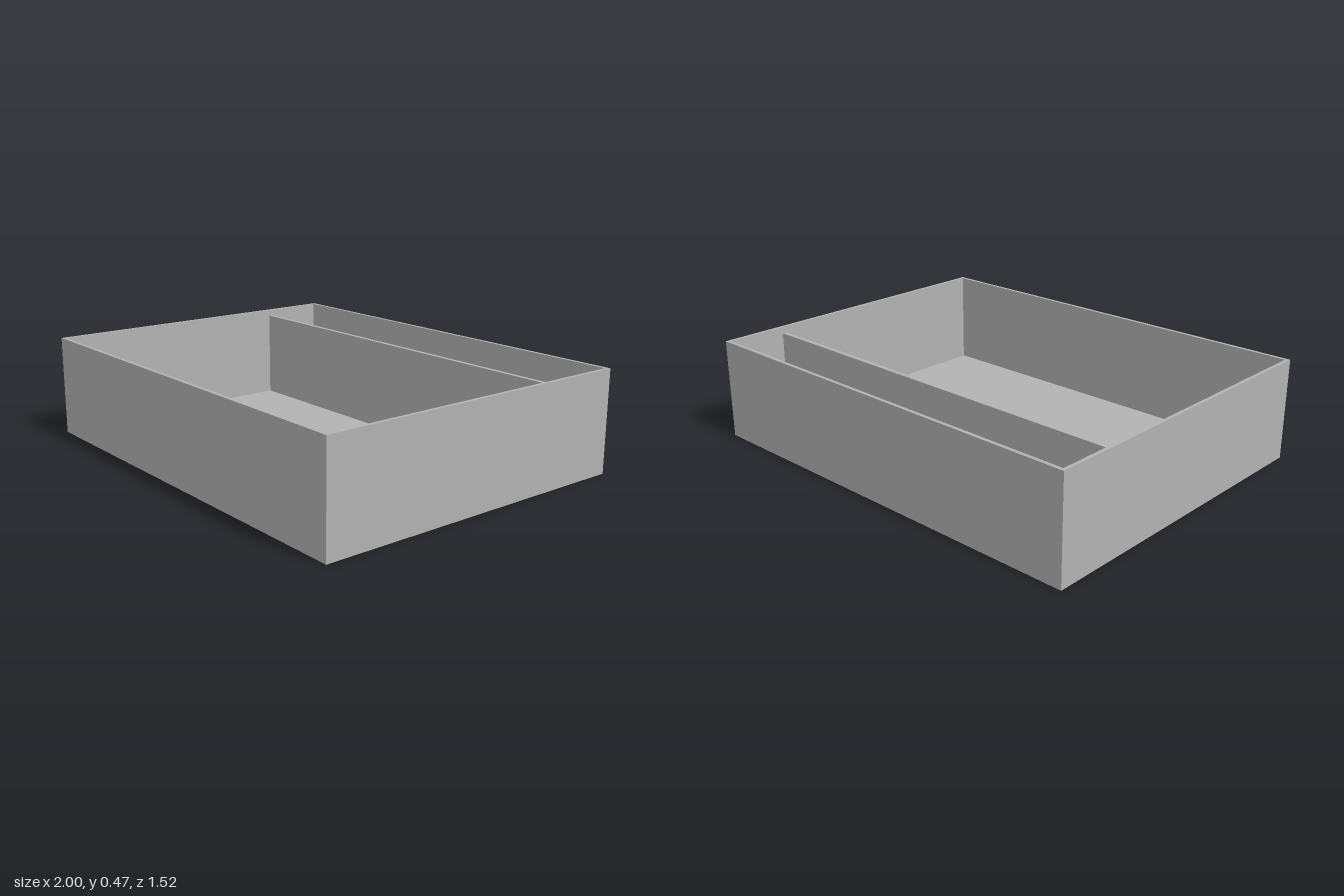
import * as THREE from 'three';

const W = 2, D = 1.524, H = 0.465; // outer size
const WALL = 0.016, FLOOR = 0.016;

export function createModel() {
  const group = new THREE.Group();
  group.name = 'dividedTray';
  const grey = new THREE.MeshStandardMaterial({ color: 0xb2b2b2 });
  grey.name = 'grey';

  const add = (name, geometry, x, y, z) => {
    const mesh = new THREE.Mesh(geometry, grey);
    mesh.name = name;
    mesh.position.set(x, y, z);
    group.add(mesh);
    return mesh;
  };

  const rectangle = (Type, w, d) => new Type([
    new THREE.Vector2(-w / 2, -d / 2), new THREE.Vector2(w / 2, -d / 2),
    new THREE.Vector2(w / 2, d / 2), new THREE.Vector2(-w / 2, d / 2),
  ]);

  // Four thin walls as one open frame
  const innerW = W - 2 * WALL, innerD = D - 2 * WALL;
  const frame = rectangle(THREE.Shape, W, D);
  frame.holes.push(rectangle(THREE.Path, innerW, innerD));
  const walls = new THREE.ExtrudeGeometry(frame, { depth: H, bevelEnabled: false });
  walls.rotateX(-Math.PI / 2);
  add('walls', walls, 0, 0, 0);

  // Floor panel between the walls
  add('floor', new THREE.BoxGeometry(innerW, FLOOR, innerD), 0, FLOOR / 2, 0);

  // Cross divider, slightly lower than the rim, near the back
  const dividerTop = 0.435;
  add('divider', new THREE.BoxGeometry(innerW, dividerTop - FLOOR, 0.02),
    0, (dividerTop + FLOOR) / 2, -0.451);

  return group;
}
